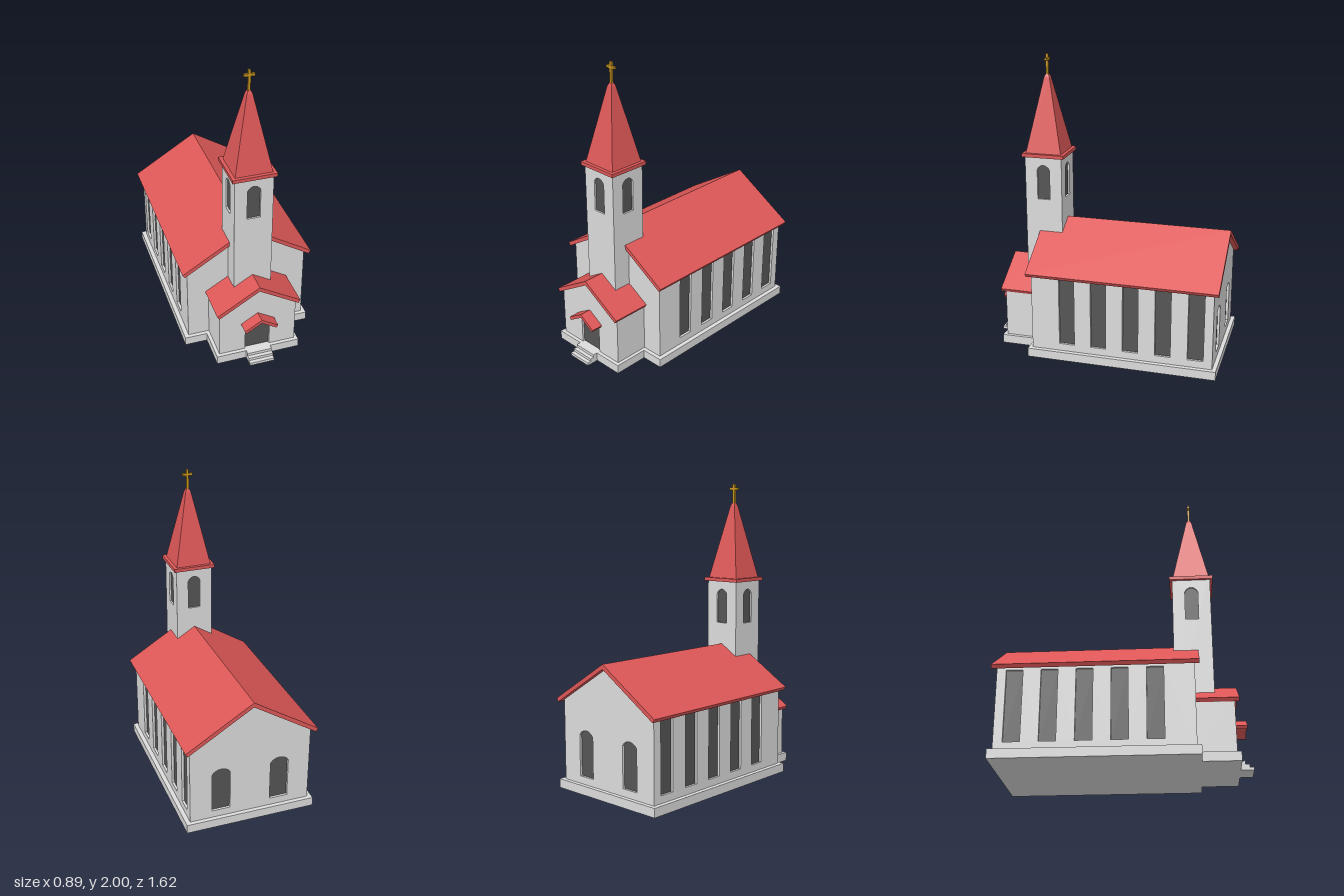
import * as THREE from 'three';

const wallMat = new THREE.MeshStandardMaterial({ color: 0xdcdcdc });
wallMat.name = 'pale wall';
const roofMat = new THREE.MeshStandardMaterial({ color: 0xdd5757 });
roofMat.name = 'red roof';
const glassMat = new THREE.MeshStandardMaterial({ color: 0x555555 });
glassMat.name = 'dark opening';
const goldMat = new THREE.MeshStandardMaterial({ color: 0xc8961e });
goldMat.name = 'gold';

const polygon = (points) => new THREE.Shape(points.map(([x, y]) => new THREE.Vector2(x, y)));

const rect = (x0, x1, y0, y1) => [[x0, y0], [x1, y0], [x1, y1], [x0, y1]];

// Window outline with a low faceted arch
function archPoints(cx, w, y0, y1) {
  const h = w / 2;
  return [[cx - h, y0], [cx + h, y0], [cx + h, y1 - 0.035], [cx + h * 0.8, y1 - 0.018],
    [cx + h * 0.4, y1 - 0.004], [cx, y1], [cx - h * 0.4, y1 - 0.004],
    [cx - h * 0.8, y1 - 0.018], [cx - h, y1 - 0.035]];
}

function add(parent, name, geometry, material, x = 0, y = 0, z = 0) {
  const mesh = new THREE.Mesh(geometry, material);
  mesh.name = name;
  mesh.position.set(x, y, z);
  parent.add(mesh);
  return mesh;
}

// Box given by its extents
function block(parent, name, material, x0, x1, y0, y1, z0, z1) {
  return add(parent, name, new THREE.BoxGeometry(x1 - x0, y1 - y0, z1 - z0), material,
    (x0 + x1) / 2, (y0 + y1) / 2, (z0 + z1) / 2);
}

// Outline extruded from z0 to z1
function prism(parent, name, material, points, z0, z1) {
  const geometry = new THREE.ExtrudeGeometry(polygon(points), { depth: z1 - z0, bevelEnabled: false });
  return add(parent, name, geometry, material, 0, 0, z0);
}

// Wall panel with openings and a recessed dark pane behind each of them
function panel(parent, name, outline, openings, depth) {
  const group = new THREE.Group();
  group.name = name;
  const shape = polygon(outline);
  for (const o of openings) {
    shape.holes.push(polygon(o));
    add(group, 'windowPane', new THREE.ShapeGeometry(polygon(o)), glassMat, 0, 0, 0.004);
  }
  add(group, 'wallPanel', new THREE.ExtrudeGeometry(shape, { depth, bevelEnabled: false }), wallMat);
  parent.add(group);
  return group;
}

const gable = (w, y0, eave, peak) => [[-w, y0], [w, y0], [w, eave], [0, peak], [-w, eave]];

// Two-sided roof slab with square-cut eaves
function roof(parent, name, w, ridge, slope, t, z0, z1) {
  const a = Math.atan(slope);
  const eave = ridge - slope * w;
  const wi = w - t * Math.sin(a);
  const yi = eave - t * Math.cos(a);
  prism(parent, name, roofMat, [[0, ridge], [-w, eave], [-wi, yi],
    [0, ridge - t / Math.cos(a)], [wi, yi], [w, eave]], z0, z1);
}

export function createModel() {
  const model = new THREE.Group();
  model.name = 'church';

  // Plinths and entrance steps
  block(model, 'navePlinth', wallMat, -0.44, 0.44, 0, 0.06, -0.803, 0.485);
  block(model, 'porchPlinth', wallMat, -0.288, 0.288, 0, 0.06, 0.485, 0.725);
  for (let i = 0; i < 3; i++) {
    block(model, 'step', wallMat, -0.085, 0.085, i * 0.02, (i + 1) * 0.02, 0.725, 0.808 - i * 0.026);
  }

  // Nave: core, front gable, back gable with two windows, side walls with five
  const nave = new THREE.Group();
  nave.name = 'nave';
  model.add(nave);
  prism(nave, 'naveCore', wallMat, gable(0.39, 0.06, 0.62, 0.86), -0.755, 0.44);
  prism(nave, 'frontGable', wallMat, gable(0.41, 0.06, 0.612, 0.864), 0.44, 0.458);
  const back = panel(nave, 'backGable', gable(0.41, 0.06, 0.612, 0.864),
    [-0.2, 0.2].map((x) => archPoints(x, 0.125, 0.11, 0.42)), 0.02);
  back.rotation.y = Math.PI;
  back.position.z = -0.755;
  for (const s of [-1, 1]) {
    const windows = [];
    for (let i = 0; i < 5; i++) {
      const c = -s * (0.213 - i * 0.219);
      windows.push(rect(c - 0.053, c + 0.053, 0.11, 0.578));
    }
    const ends = [s * 0.755, -s * 0.44].sort((p, q) => p - q);
    const side = panel(nave, 'sideWall', rect(ends[0], ends[1], 0.06, 0.61), windows, 0.02);
    side.rotation.y = s * Math.PI / 2;
    side.position.x = s * 0.39;
  }
  roof(nave, 'naveRoof', 0.447, 0.882, 0.62, 0.027, -0.808, 0.488);

  // Porch with pointed doorway and small canopy
  const porch = new THREE.Group();
  porch.name = 'porch';
  model.add(porch);
  prism(porch, 'porchCore', wallMat, gable(0.265, 0.06, 0.402, 0.562), 0.45, 0.68);
  prism(porch, 'porchFront', wallMat, [[-0.265, 0.06], [-0.085, 0.06], [-0.085, 0.275], [0, 0.327],
    [0.085, 0.275], [0.085, 0.06], [0.265, 0.06], [0.265, 0.402], [0, 0.562], [-0.265, 0.402]], 0.68, 0.7);
  add(porch, 'door', new THREE.ShapeGeometry(polygon(gable(0.085, 0.06, 0.275, 0.327))), glassMat, 0, 0, 0.684);
  roof(porch, 'porchRoof', 0.287, 0.581, 0.605, 0.026, 0.455, 0.728);
  roof(porch, 'doorCanopy', 0.115, 0.35, 0.61, 0.022, 0.69, 0.78);

  // Bell tower with an arched window on each face
  const tower = new THREE.Group();
  tower.name = 'tower';
  tower.position.z = 0.455;
  model.add(tower);
  block(tower, 'towerCore', wallMat, -0.112, 0.112, 0.06, 1.32, -0.112, 0.112);
  for (let i = 0; i < 4; i++) {
    const w = i % 2 ? 0.112 : 0.128;
    const face = panel(tower, 'towerWall', rect(-w, w, 0.3, 1.325), [archPoints(0, 0.088, 1.03, 1.268)], 0.016);
    const a = i * Math.PI / 2;
    face.rotation.y = a;
    face.position.set(Math.sin(a) * 0.112, 0, Math.cos(a) * 0.112);
  }

  // Cornice, spire and its narrow cap
  block(tower, 'cornice', roofMat, -0.146, 0.146, 1.322, 1.346, -0.146, 0.146);
  const frustum = (name, top, bottom, y0, y1) => {
    const g = new THREE.CylinderGeometry(top * Math.SQRT2, bottom * Math.SQRT2, y1 - y0, 4)
      .rotateY(Math.PI / 4).toNonIndexed();
    g.computeVertexNormals();
    add(tower, name, g, roofMat, 0, (y0 + y1) / 2, 0);
  };
  frustum('spire', 0.019, 0.123, 1.346, 1.845);
  frustum('spireCap', 0.01, 0.019, 1.845, 1.865);

  // Cross
  block(tower, 'crossPost', goldMat, -0.008, 0.008, 1.855, 2, -0.008, 0.008);
  block(tower, 'crossArm', goldMat, -0.036, 0.036, 1.957, 1.973, -0.0085, 0.0085);

  return model;
}
